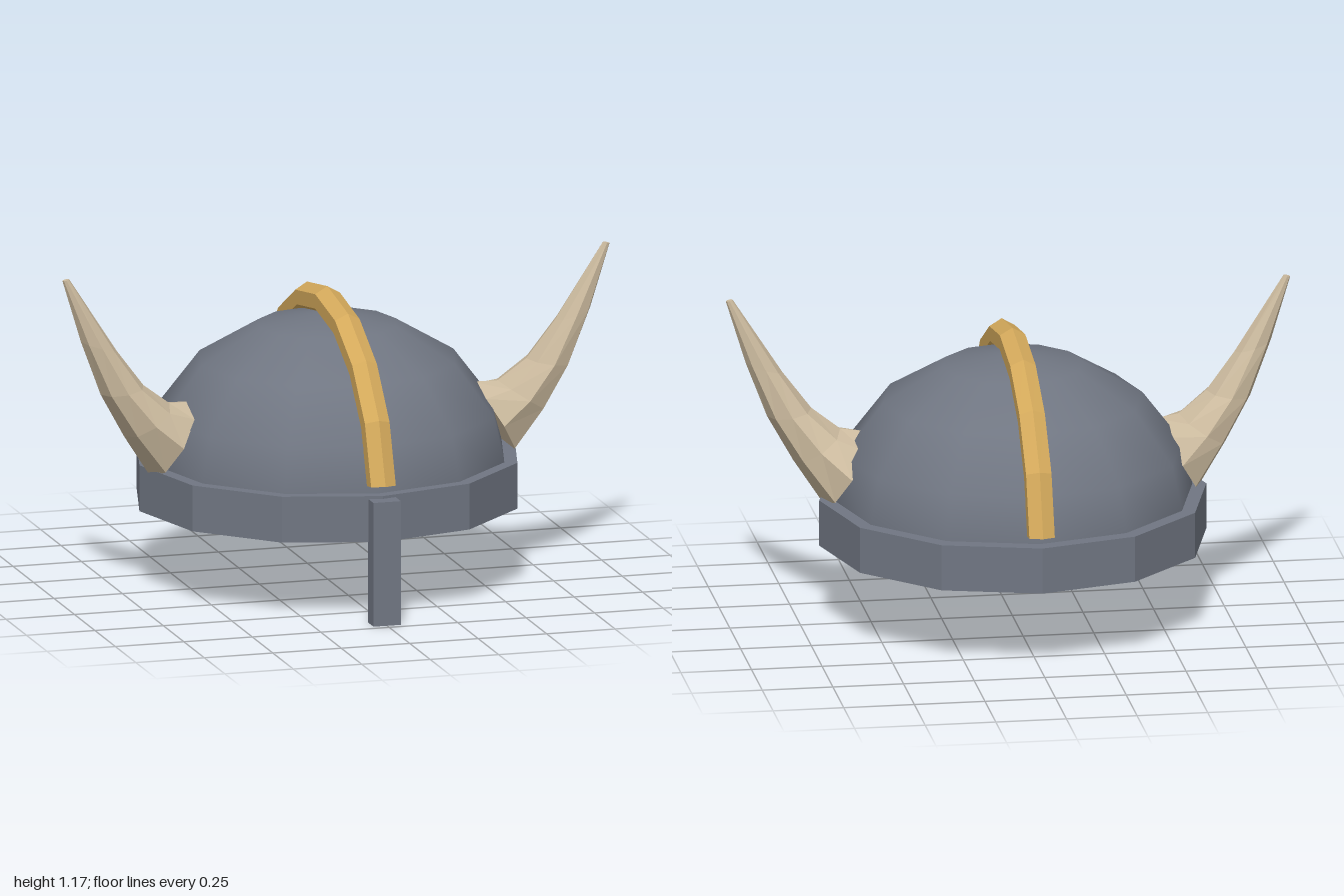
import * as THREE from 'three';

const steel = new THREE.MeshStandardMaterial({ color: 0x707682 });
steel.name = 'steel';
const brass = new THREE.MeshStandardMaterial({ color: 0xd6ab5c });
brass.name = 'brass';
const horn = new THREE.MeshStandardMaterial({ color: 0xcbba9e });
horn.name = 'horn';

// Closed faceted skin over rings of points that run counter-clockwise about the path
function loft(rings) {
  const n = rings[0].length, last = rings.length - 1;
  const pos = [];
  const tri = (...pts) => pts.forEach(p => pos.push(...p));
  for (let k = 0; k < last; k++) {
    const a = rings[k], b = rings[k + 1];
    for (let i = 0; i < n; i++) {
      const j = (i + 1) % n;
      tri(a[i], a[j], b[j]);
      tri(a[i], b[j], b[i]);
    }
  }
  for (let i = 1; i < n - 1; i++) {
    tri(rings[0][0], rings[0][i + 1], rings[0][i]);
    tri(rings[last][0], rings[last][i], rings[last][i + 1]);
  }
  const g = new THREE.BufferGeometry();
  g.setAttribute('position', new THREE.Float32BufferAttribute(pos, 3));
  g.computeVertexNormals();
  return g;
}

const ringOf = (n, fn) => Array.from({ length: n }, (_, i) => {
  const a = i / n * Math.PI * 2;
  return fn(Math.cos(a), Math.sin(a));
});

// Horn sections: centre x, y, z, half-width towards the outer side (x, y), half-width in z
const hornSections = [
  [0.585, 0.555, 0.04, 0.075, -0.13, 0.16],
  [0.682, 0.637, 0.07, 0.083, -0.054, 0.122],
  [0.777, 0.755, 0.085, 0.078, -0.012, 0.088],
  [0.865, 0.92, 0.095, 0.065, 0.02, 0.053],
  [0.987, 1.168, 0.1, 0.012, -0.003, 0.01],
];

function hornGeometry(side) {
  return loft(hornSections.map(([x, y, z, vx, vy, w]) =>
    ringOf(8, (c, s) => [side * (x + c * vx), y + c * vy, z - side * s * w])));
}

// Hexagonal bar bent over the dome from back to front
function crestGeometry() {
  const rings = [];
  for (let k = -4; k <= 4; k++) {
    const t = THREE.MathUtils.degToRad(k * 20.5);
    const sy = Math.cos(t), sz = Math.sin(t), half = 0.052;
    rings.push(ringOf(6, (c, s) => [
      -s * half,
      0.404 + (0.598 + c * half) * sy,
      -0.004 + (0.665 + c * half) * sz,
    ]));
  }
  return loft(rings);
}

export function createModel() {
  const model = new THREE.Group();
  model.name = 'hornedHelmet';
  const add = (name, geometry, material, x = 0, y = 0, z = 0) => {
    const mesh = new THREE.Mesh(geometry, material);
    mesh.name = name;
    mesh.position.set(x, y, z);
    model.add(mesh);
    return mesh;
  };

  // Smooth dome, slightly flattened
  const dome = new THREE.SphereGeometry(0.65, 12, 4, 0, Math.PI * 2, 0, Math.PI / 2);
  dome.scale(1, 0.57 / 0.65, 1);
  add('dome', dome, steel, 0, 0.395, -0.005);

  // Twelve-sided rim with a closed underside
  const rim = new THREE.CylinderGeometry(0.685, 0.685, 0.165, 12).toNonIndexed();
  rim.computeVertexNormals();
  add('rimBand', rim, steel, 0, 0.3725, -0.01);

  add('noseGuard', new THREE.BoxGeometry(0.1, 0.445, 0.07), steel, 0, 0.2225, 0.69);
  add('crest', crestGeometry(), brass);
  add('leftHorn', hornGeometry(1), horn);
  add('rightHorn', hornGeometry(-1), horn);
  return model;
}
